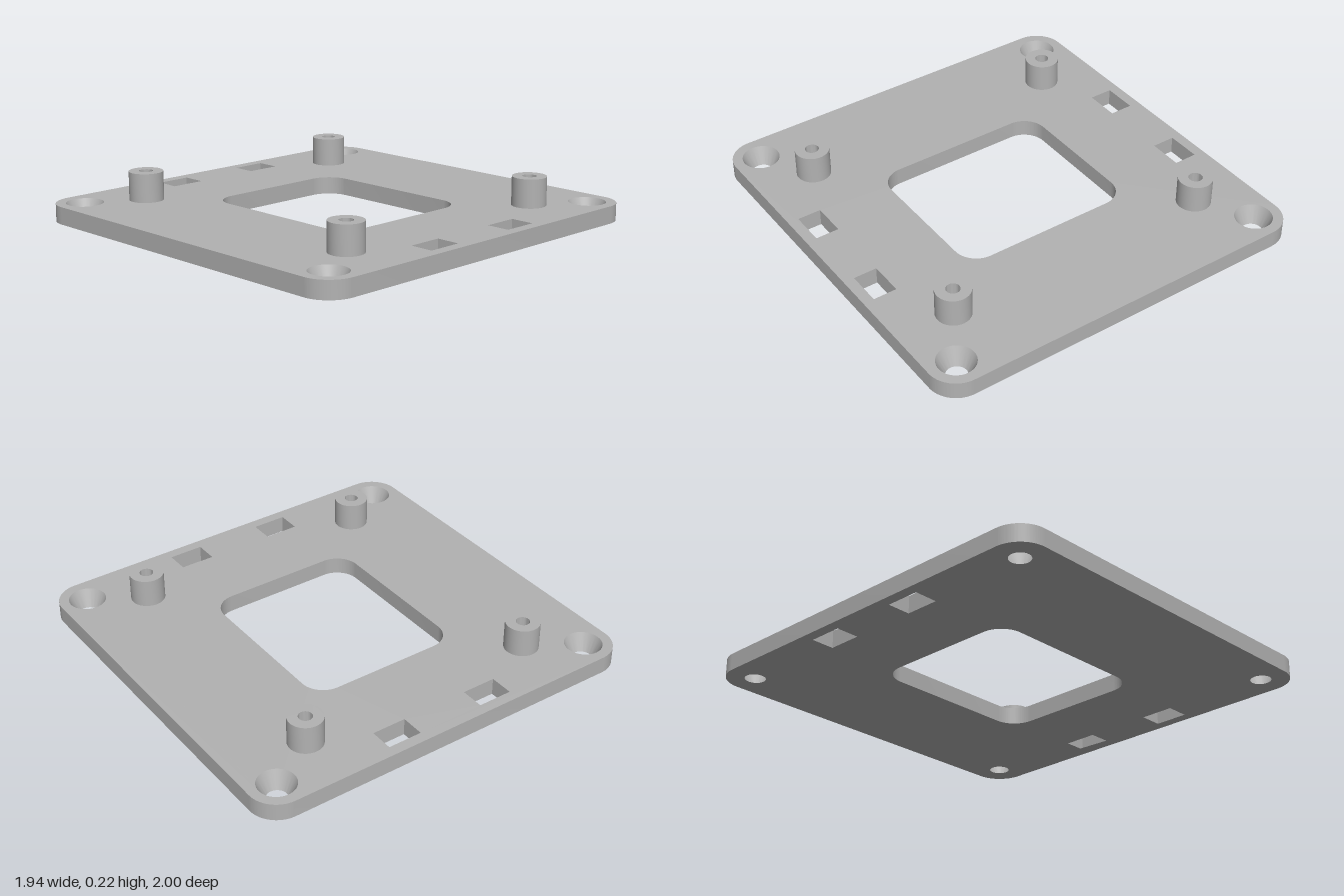
import * as THREE from 'three';
import { toCreasedNormals } from 'three/addons/utils/BufferGeometryUtils.js';

const PLATE_H = 0.085, POST_TOP = 0.225;
const SCREW = { x: 0.833, z: 0.862, top: 0.09, bottom: 0.05 };
const SIDES = [-1, 1];
const corners = SIDES.flatMap(x => SIDES.map(z => [x, z]));

// Rectangle with rounded corners, centred on (cx, cy)
function roundedRect(path, cx, cy, hw, hh, r) {
  path.moveTo(cx + hw, cy - hh + r);
  path.lineTo(cx + hw, cy + hh - r);
  path.absarc(cx + hw - r, cy + hh - r, r, 0, Math.PI / 2);
  path.absarc(cx - hw + r, cy + hh - r, r, Math.PI / 2, Math.PI);
  path.absarc(cx - hw + r, cy - hh + r, r, Math.PI, Math.PI * 1.5);
  path.absarc(cx + hw - r, cy - hh + r, r, Math.PI * 1.5, Math.PI * 2);
  return path;
}

function rect(cx, cy, hw, hh) {
  return new THREE.Path([[-1, -1], [1, -1], [1, 1], [-1, 1]]
    .map(([x, y]) => new THREE.Vector2(cx + x * hw, cy + y * hh)));
}

function circle(path, x, y, r) {
  return path.absarc(x, y, r, 0, Math.PI * 2);
}

// Extrude a floor-plan shape upward
function extrudeUp(shape, depth) {
  return new THREE.ExtrudeGeometry(shape, { depth, bevelEnabled: false, curveSegments: 24 })
    .rotateX(-Math.PI / 2);
}

function plateGeometry() {
  const shape = roundedRect(new THREE.Shape(), 0, 0, 0.972, 1, 0.14);
  // Central window
  shape.holes.push(roundedRect(new THREE.Path(), 0, 0, 0.447, 0.39, 0.115));
  for (const [sx, sz] of corners) {
    shape.holes.push(rect(sx * 0.861, sz * 0.253, 0.058, 0.085)); // strap slots
    shape.holes.push(circle(new THREE.Path(), sx * SCREW.x, sz * SCREW.z, SCREW.top));
  }
  const geometry = extrudeUp(shape, PLATE_H);

  // Countersink: narrow the lower rim of every screw hole
  const p = geometry.attributes.position, k = SCREW.bottom / SCREW.top;
  for (let i = 0; i < p.count; i++) {
    if (p.getY(i) > PLATE_H / 2) continue;
    const cx = Math.sign(p.getX(i)) * SCREW.x, cz = Math.sign(p.getZ(i)) * SCREW.z;
    const dx = p.getX(i) - cx, dz = p.getZ(i) - cz;
    if (Math.hypot(dx, dz) < SCREW.top + 0.005) {
      p.setX(i, cx + dx * k);
      p.setZ(i, cz + dz * k);
    }
  }
  return toCreasedNormals(geometry, 0.5);
}

function postGeometry() {
  const shape = circle(new THREE.Shape(), 0, 0, 0.083);
  shape.holes.push(circle(new THREE.Path(), 0, 0, 0.033));
  return toCreasedNormals(extrudeUp(shape, POST_TOP - PLATE_H), 0.5);
}

export function createModel() {
  const group = new THREE.Group();
  group.name = 'mountingPlate';
  const grey = new THREE.MeshStandardMaterial({ color: 0xb2b2b2 });
  grey.name = 'grey';

  const plate = new THREE.Mesh(plateGeometry(), grey);
  plate.name = 'basePlate';
  group.add(plate);

  // Four hollow standoffs; the plate closes the bottom of each bore
  const geometry = postGeometry();
  for (const [sx, sz] of corners) {
    const post = new THREE.Mesh(geometry, grey);
    post.name = (sz > 0 ? 'front' : 'back') + (sx > 0 ? 'Left' : 'Right') + 'Standoff';
    post.position.set(sx * 0.68, PLATE_H, sz * 0.61);
    group.add(post);
  }
  return group;
}
